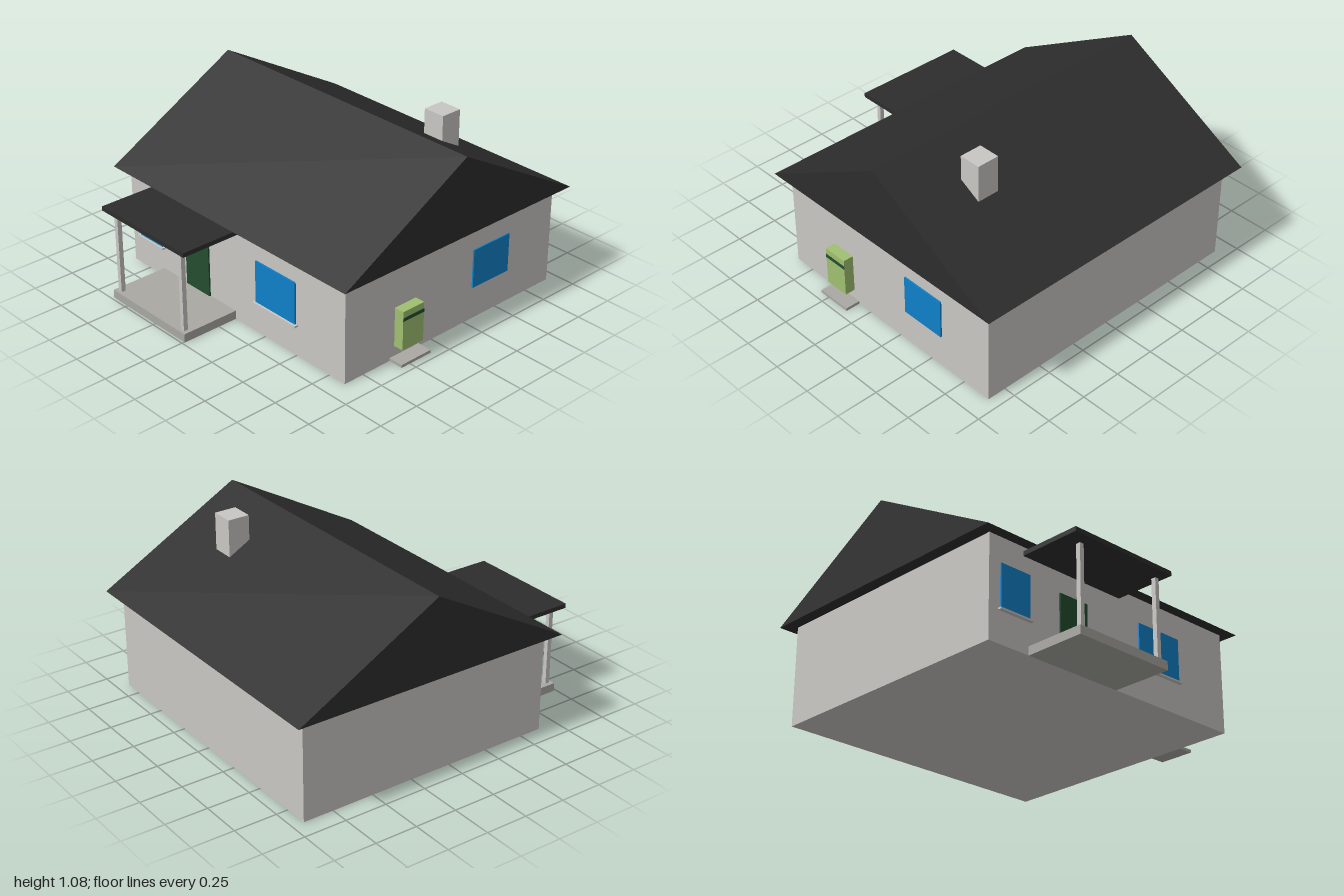
import * as THREE from 'three';

const mat = (name, color) => new THREE.MeshStandardMaterial({ name, color });

export function createModel() {
  const house = new THREE.Group();
  house.name = 'house';
  const wall = mat('wall render', 0xc9c7c3);
  const concrete = mat('concrete', 0xa9a8a3);
  const slate = mat('roof slate', 0x2d2d2d);
  const blue = mat('window blue', 0x0f80c8);
  const darkGreen = mat('door green', 0x234d2f);
  const lightGreen = mat('cabinet green', 0xa0c070);

  // Box given by its extents along each axis
  function box(name, material, [x0, x1], [y0, y1], [z0, z1], parent = house) {
    const mesh = new THREE.Mesh(new THREE.BoxGeometry(x1 - x0, y1 - y0, z1 - z0), material);
    mesh.position.set((x0 + x1) / 2, (y0 + y1) / 2, (z0 + z1) / 2);
    mesh.name = name;
    parent.add(mesh);
    return mesh;
  }

  box('walls', wall, [-0.89, 0.865], [0, 0.59], [-0.93, 0.63]);

  // Gable roof: triangle in the z-y plane, extruded along x
  const gable = new THREE.Shape([
    new THREE.Vector2(-0.695, 0.588),
    new THREE.Vector2(1.0, 0.588),
    new THREE.Vector2(0.152, 1.055),
  ]);
  const roofGeometry = new THREE.ExtrudeGeometry(gable, { depth: 1.89, bevelEnabled: false });
  roofGeometry.rotateY(Math.PI / 2).translate(-0.96, 0, 0);
  const roof = new THREE.Mesh(roofGeometry, slate);
  roof.name = 'roof';
  house.add(roof);

  box('chimney', wall, [0.405, 0.54], [0.8, 1.075], [-0.51, -0.38]);

  // Front porch
  const porch = new THREE.Group();
  porch.name = 'porch';
  house.add(porch);
  box('porchSlab', concrete, [-0.62, 0.005], [0, 0.05], [0.63, 0.985], porch);
  box('porchCanopy', slate, [-0.658, 0.042], [0.537, 0.563], [0.63, 1.0], porch);
  for (const x of [-0.583, -0.034]) {
    box('porchPost', wall, [x - 0.013, x + 0.013], [0.05, 0.51], [0.94, 0.967], porch);
  }
  box('frontDoor', darkGreen, [-0.405, -0.208], [0.05, 0.415], [0.63, 0.639]);

  // Front windows with sills
  for (const [x0, x1] of [[-0.815, -0.618], [0.184, 0.495]]) {
    box('frontWindow', blue, [x0, x1], [0.19, 0.44], [0.63, 0.639]);
    box('windowSill', wall, [x0 - 0.014, x1 + 0.014], [0.18, 0.19], [0.63, 0.652]);
  }
  box('sideWindow', blue, [0.865, 0.874], [0.198, 0.43], [-0.58, -0.303]);

  // Outdoor cabinet on the side wall, with its ground pad
  const cabinet = new THREE.Group();
  cabinet.name = 'sideCabinet';
  house.add(cabinet);
  box('cabinetBody', lightGreen, [0.867, 0.928], [0.08, 0.312], [0.128, 0.28], cabinet);
  box('cabinetStripe', darkGreen, [0.926, 0.931], [0.255, 0.275], [0.128, 0.28], cabinet);
  box('groundPad', concrete, [0.865, 0.955], [0, 0.017], [0.096, 0.31], cabinet);

  return house;
}
